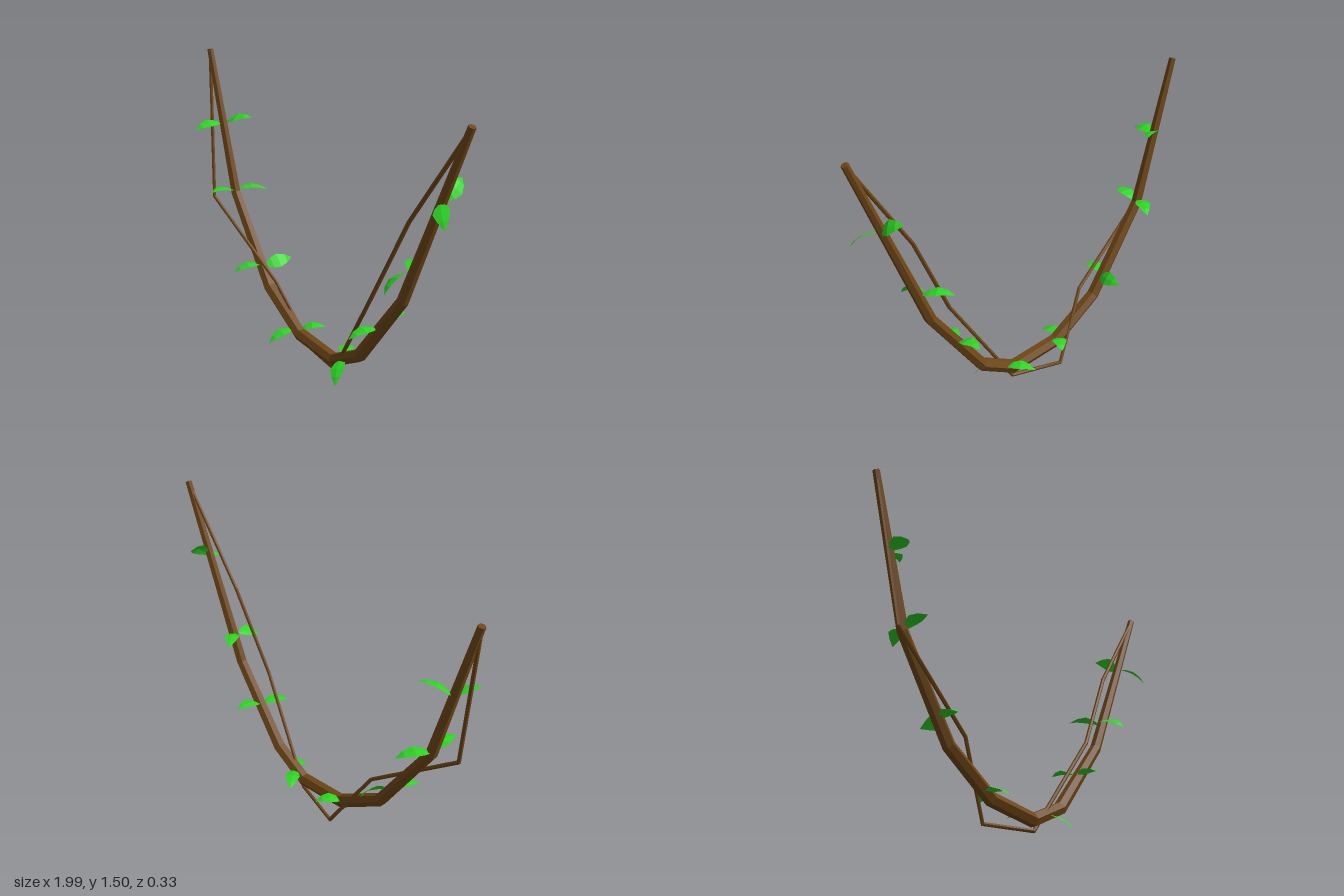
import * as THREE from 'three';

const V = (a) => new THREE.Vector3(...a);

function makeMesh(name, positions, indices, material) {
  const geo = new THREE.BufferGeometry();
  geo.setAttribute('position', new THREE.Float32BufferAttribute(positions, 3));
  geo.setIndex(indices);
  geo.computeVertexNormals();
  const mesh = new THREE.Mesh(geo, material);
  mesh.name = name;
  return mesh;
}

// Six-sided stem: rings of corners around a path, mitred at each joint and capped
function makeStem(name, path, radii, material) {
  const sides = 6, pts = path.map(V), pos = [], idx = [];
  pts.forEach((p, i) => {
    const dirs = [];
    if (i > 0) dirs.push(p.clone().sub(pts[i - 1]).normalize());
    if (i < pts.length - 1) dirs.push(pts[i + 1].clone().sub(p).normalize());
    const t = dirs.reduce((s, d) => s.add(d), new THREE.Vector3()).normalize();
    const miter = Math.min(1.25, 1 / t.dot(dirs[0]));
    const u = new THREE.Vector3(0, 0, 1).addScaledVector(t, -t.z).normalize();
    const w = t.clone().cross(u);
    for (let k = 0; k < sides; k++) {
      const a = (k / sides) * Math.PI * 2;
      const q = p.clone().addScaledVector(u, Math.cos(a) * radii[i])
        .addScaledVector(w, Math.sin(a) * radii[i] * miter);
      pos.push(q.x, q.y, q.z);
    }
  });
  const last = (pts.length - 1) * sides;
  for (let i = 0; i < pts.length - 1; i++) {
    for (let k = 0; k < sides; k++) {
      const a = i * sides + k, b = i * sides + (k + 1) % sides;
      idx.push(a, b, a + sides, b, b + sides, a + sides);
    }
  }
  for (let k = 1; k < sides - 1; k++) {
    idx.push(0, k + 1, k, last, last + k, last + k + 1);
  }
  return makeMesh(name, pos, idx, material);
}

// Arched leaf, lightly folded along its midrib; roll turns it about its length
function makeLeaf(base, tip, roll, material) {
  const a = V(base), b = V(tip);
  const dir = b.clone().sub(a).normalize();
  const side0 = dir.clone().cross(new THREE.Vector3(0, 1, 0)).normalize();
  const up0 = side0.clone().cross(dir);
  const up = up0.clone().multiplyScalar(Math.cos(roll)).addScaledVector(side0, Math.sin(roll));
  const side = dir.clone().cross(up);
  // [position along leaf, half width, arch height]
  const rows = [[0, 0.008, 0], [0.22, 0.029, 0.015], [0.46, 0.039, 0.024], [0.75, 0.024, 0.018], [1, 0.001, 0]];
  const pos = [], idx = [];
  rows.forEach(([s, half, lift], i) => {
    for (const e of [-1, 0, 1]) {
      const q = a.clone().lerp(b, s).addScaledVector(side, e * half)
        .addScaledVector(up, lift - Math.abs(e) * half * 0.1);
      pos.push(q.x, q.y, q.z);
    }
    if (i < rows.length - 1) {
      for (let k = 0; k < 2; k++) {
        const n = i * 3 + k;
        idx.push(n, n + 1, n + 3, n + 1, n + 4, n + 3);
      }
    }
  });
  return makeMesh('leaf', pos, idx, material);
}

export function createModel() {
  const group = new THREE.Group();
  group.name = 'hangingVine';
  const bark = new THREE.MeshStandardMaterial({ color: 0x6f4716, flatShading: true });
  const green = new THREE.MeshStandardMaterial({ color: 0x2cd824, flatShading: true, side: THREE.DoubleSide });

  // Thick sagging vine
  group.add(makeStem('mainVine', [
    [-0.98, 1.495, 0], [-0.77, 0.745, 0], [-0.465, 0.29, 0], [-0.19, 0.113, 0],
    [0.1, 0.083, 0], [0.3, 0.19, 0], [0.6, 0.59, 0], [0.98, 1.495, 0],
  ], [0.018, 0.028, 0.033, 0.035, 0.035, 0.034, 0.029, 0.018], bark));

  // Thin tendril winding around it
  group.add(makeStem('tendril', [
    [-0.98, 1.49, 0], [-0.865, 0.71, 0.078], [-0.38, 0.355, 0.018], [-0.175, 0.013, -0.064],
    [0.105, 0.03, 0], [0.445, 0.56, 0.06], [0.655, 1.0, 0.025], [0.98, 1.49, 0],
  ], Array(8).fill(0.01), bark));

  // Leaves: base, tip, roll
  const leaves = new THREE.Group();
  leaves.name = 'leaves';
  [
    [[-0.88, 1.11, 0.01], [-0.9, 1.09, 0.16], -0.25],
    [[-0.87, 1.11, -0.01], [-0.73, 1.155, -0.09], 0.3],
    [[-0.765, 0.755, 0.01], [-0.77, 0.77, 0.16], 0],
    [[-0.775, 0.76, -0.01], [-0.69, 0.75, -0.155], 0],
    [[-0.53, 0.4, 0.01], [-0.57, 0.375, 0.16], 0],
    [[-0.51, 0.395, -0.01], [-0.49, 0.41, -0.165], 0.85],
    [[-0.235, 0.13, 0.01], [-0.245, 0.085, 0.16], 0],
    [[-0.2, 0.13, -0.01], [-0.13, 0.14, -0.125], 0],
    [[0.155, 0.12, -0.02], [0.06, 0.11, -0.13], 0],
    [[0.18, 0.125, 0.01], [0.26, 0.045, 0.12], 0.3],
    [[0.44, 0.395, 0.01], [0.41, 0.37, 0.16], 0],
    [[0.445, 0.4, -0.01], [0.44, 0.43, -0.165], 0],
    [[0.625, 0.75, 0.01], [0.65, 0.685, 0.155], 0.5],
    [[0.645, 0.745, -0.01], [0.54, 0.75, -0.12], 0],
    [[0.835, 1.14, -0.01], [0.805, 1.21, -0.135], 0.85],
    [[0.83, 1.13, 0.01], [0.945, 1.06, 0.09], 0.4],
  ].forEach(([base, tip, roll]) => leaves.add(makeLeaf(base, tip, roll, green)));
  group.add(leaves);
  return group;
}
